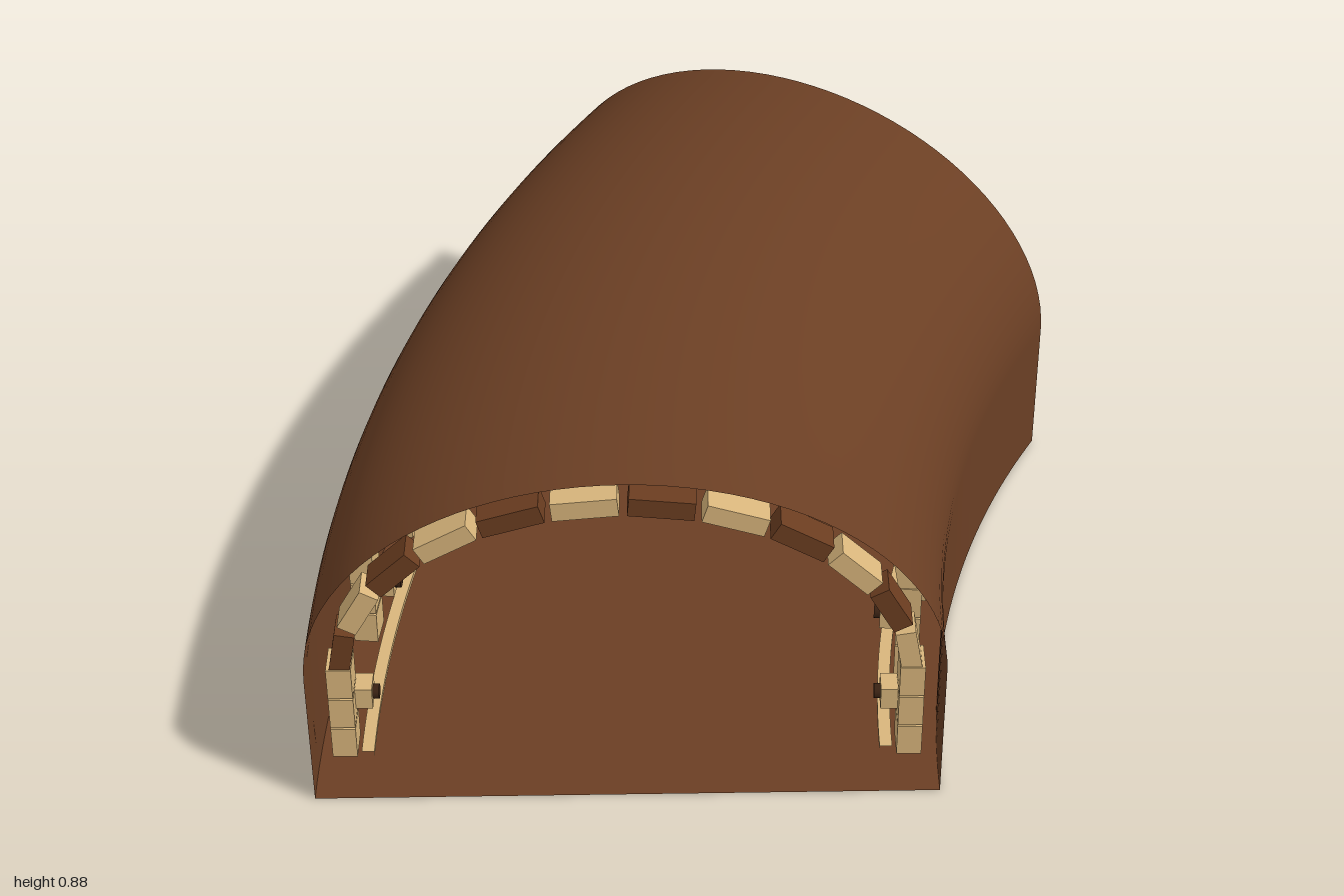
import * as THREE from 'three';

const CENTRE_R = 3.3;              // bend radius of the tunnel centreline
const BEND = Math.PI / 6;          // total bend
const SPRING = 0.35;               // height where the arch begins

const mat = (name, color, side = THREE.FrontSide) => {
  const m = new THREE.MeshStandardMaterial({ color, side });
  m.name = name;
  return m;
};

// Arch outline, clockwise from the left foot to the right foot
function archPoints(halfWidth, rise, foot, n = 48) {
  const pts = [[-halfWidth, foot]];
  for (let i = 0; i <= n; i++) {
    const t = Math.PI * i / n;
    pts.push([-halfWidth * Math.cos(t), SPRING + rise * Math.sin(t)]);
  }
  pts.push([halfWidth, foot]);
  return pts;
}

// Carries a cross-section round the bend
function sweep(profile, a0, a1, steps, flat = false) {
  const pos = [], idx = [], m = profile.length;
  for (let i = 0; i <= steps; i++) {
    const a = a0 + (a1 - a0) * i / steps;
    for (const [x, y] of profile) {
      const r = CENTRE_R - x;
      pos.push(-r * Math.cos(a), y, -r * Math.sin(a));
    }
  }
  for (let i = 0; i < steps; i++) {
    for (let j = 0; j < m - 1; j++) {
      const p = i * m + j, q = p + m;
      idx.push(p, p + 1, q, q, p + 1, q + 1);
    }
  }
  let g = new THREE.BufferGeometry();
  g.setAttribute('position', new THREE.Float32BufferAttribute(pos, 3));
  g.setIndex(idx);
  if (flat) g = g.toNonIndexed();
  g.computeVertexNormals();
  return g;
}

export function createModel() {
  const earth = mat('earthBrown', 0x6b3f24, THREE.DoubleSide);
  const darkWood = mat('darkWood', 0x6b3d20);
  const paleWood = mat('paleWood', 0xd9b67c);
  const rimWood = mat('rimWood', 0xdeb880, THREE.DoubleSide);
  const soot = mat('lampDark', 0x3a2213);

  const model = new THREE.Group();
  model.name = 'curvedTunnel';
  const bend = new THREE.Group();
  bend.name = 'bend';
  bend.position.set(3.125, 0, 1);
  model.add(bend);

  const add = (parent, name, geo, material, x = 0, y = 0, z = 0) => {
    const mesh = new THREE.Mesh(geo, material);
    mesh.name = name;
    mesh.position.set(x, y, z);
    parent.add(mesh);
    return mesh;
  };

  // A frame standing on the centreline at a given angle
  const station = (name, angle) => {
    const pivot = new THREE.Group();
    pivot.name = name;
    pivot.rotation.y = -angle;
    const frame = new THREE.Group();
    frame.name = name + 'Frame';
    frame.position.x = -CENTRE_R;
    pivot.add(frame);
    bend.add(pivot);
    return frame;
  };

  // Shell and floor
  add(bend, 'shell', sweep(archPoints(0.7, 0.525, 0), 0, BEND, 40), earth);
  add(bend, 'floor', sweep([[0.7, 0], [-0.7, 0]], 0, BEND, 40), earth);

  // Rim closing the rear edge
  const toVec = ([x, y]) => new THREE.Vector2(x, y);
  const rimShape = new THREE.Shape(archPoints(0.7, 0.525, 0).map(toVec));
  rimShape.holes.push(new THREE.Path(archPoints(0.63, 0.455, 0.078).map(toVec)));
  add(station('rearRim', BEND), 'rim', new THREE.ShapeGeometry(rimShape), rimWood);

  // Low rails along both walls
  for (const s of [-1, 1]) {
    const x = s * 0.575, w = 0.014, y0 = 0.112, y1 = 0.125;
    const section = [[x - w, y0], [x - w, y1], [x + w, y1], [x + w, y0], [x - w, y0]];
    add(bend, 'rail', sweep(section, 0.004, BEND - 0.004, 40, true), paleWood);
  }

  // Ribs: stacked posts, arch blocks and wall lamps
  const deg = Math.PI / 180, RIBS = 6, BLOCKS = 12;
  const postGeo = new THREE.BoxGeometry(0.055, 0.08, 0.076);
  const lampGeo = new THREE.BoxGeometry(0.04, 0.055, 0.055);
  const knobGeo = new THREE.CylinderGeometry(0.017, 0.017, 0.016, 12).rotateZ(Math.PI / 2);
  const arch = (t) => new THREE.Vector2(-0.62 * Math.cos(t), SPRING + 0.458 * Math.sin(t));

  for (let i = 0; i < RIBS; i++) {
    const angle = (0.7 + 5.72 * i) * deg;
    const rib = station('rib', angle);
    for (const s of [-1, 1]) {
      for (let k = 0; k < 3; k++) {
        add(rib, 'postBlock', postGeo, paleWood, s * 0.625, 0.157 + k * 0.085, 0);
      }
    }
    for (let k = 0; k < BLOCKS; k++) {
      const a = arch(Math.PI * k / BLOCKS), b = arch(Math.PI * (k + 1) / BLOCKS);
      const c = arch(Math.PI * (k + 0.5) / BLOCKS);
      const geo = new THREE.BoxGeometry(a.distanceTo(b) * 0.88, 0.045, 0.07);
      const block = add(rib, 'archBlock', geo, k % 2 ? paleWood : darkWood, c.x, c.y, 0);
      block.rotation.z = Math.atan2(b.y - a.y, b.x - a.x);
    }
    const lamps = station('lamps', angle + (i === RIBS - 1 ? -0.6 : 0.4) * deg);
    for (const s of [-1, 1]) {
      add(lamps, 'lampBox', lampGeo, paleWood, s * 0.58, 0.252, 0);
      add(lamps, 'lampKnob', knobGeo, soot, s * 0.554, 0.252, 0);
    }
  }
  return model;
}
